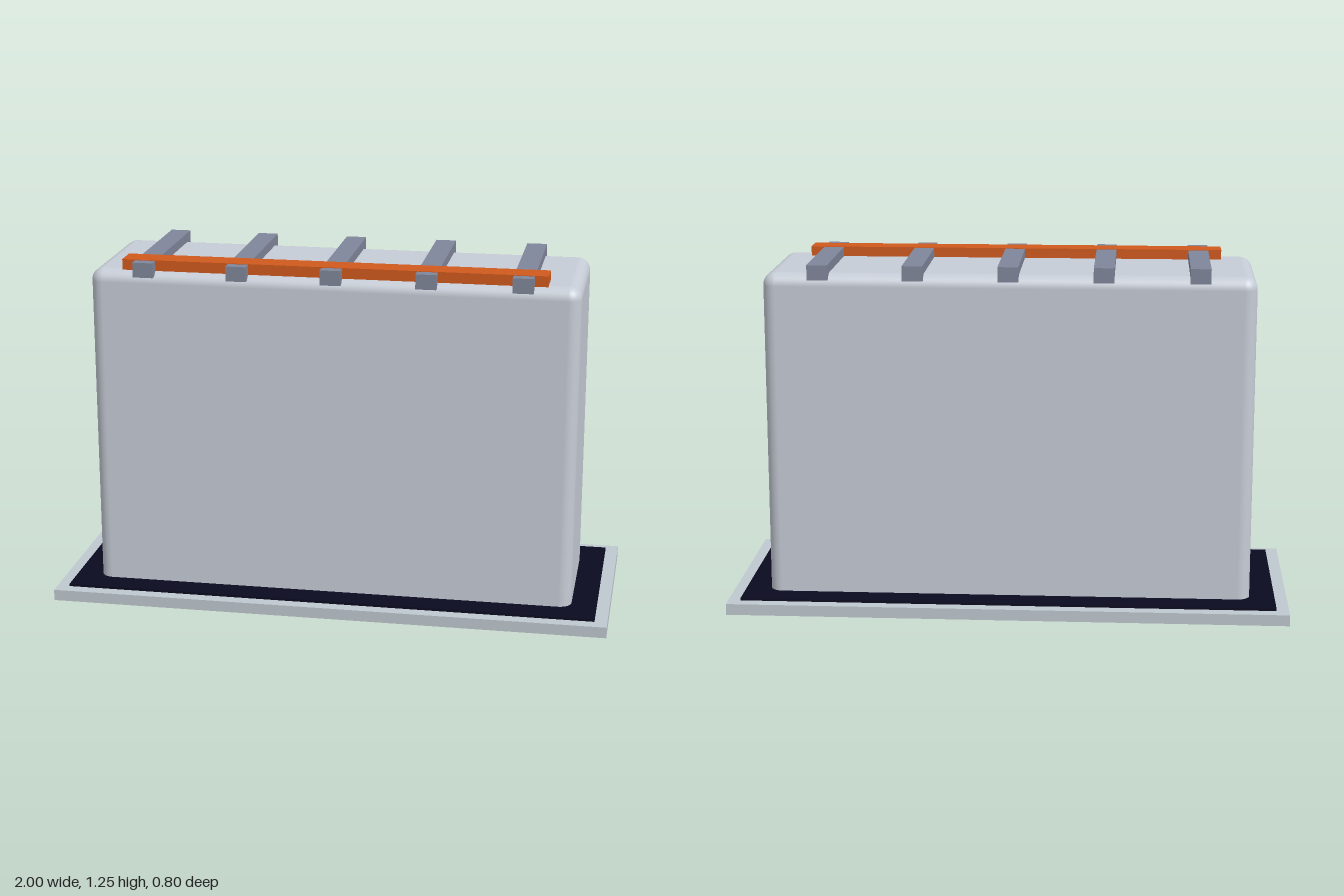
import * as THREE from 'three';
import { RoundedBoxGeometry } from 'three/addons/geometries/RoundedBoxGeometry.js';

const material = (name, color) => {
  const m = new THREE.MeshStandardMaterial({ color });
  m.name = name;
  return m;
};

export function createModel() {
  const model = new THREE.Group();
  const paleStone = material('paleStone', 0xbec8ce);
  const darkInlay = material('darkInlay', 0x0a0a20);
  const lightGrey = material('lightGrey', 0xc6ccd6);
  const slate = material('slate', 0x80869a);
  const orange = material('orange', 0xd05a1e);

  const add = (name, geometry, mat, x, y, z) => {
    const mesh = new THREE.Mesh(geometry, mat);
    mesh.name = name;
    mesh.position.set(x, y, z);
    model.add(mesh);
  };
  // Box spanning y0 to y1
  const slab = (name, mat, w, d, y0, y1, x = 0, z = 0) =>
    add(name, new THREE.BoxGeometry(w, y1 - y0, d), mat, x, (y0 + y1) / 2, z);

  // Plinth with a thin dark inlay
  slab('basePlate', paleStone, 2, 0.8, 0, 0.04);
  slab('baseInlay', darkInlay, 1.91, 0.71, 0.04, 0.049);

  // Main block; its lower rounding is buried in the plinth
  const bottom = 0.004, top = 1.21;
  add('body', new RoundedBoxGeometry(1.73, top - bottom, 0.524, 5, 0.045),
    lightGrey, 0, (top + bottom) / 2, 0);

  // Five cross bars over the roof
  for (let i = -2; i <= 2; i++) {
    slab('roofBar', slate, 0.072, 0.55, 1.19, 1.243, i / 3);
  }

  // Long rail across the bars near the front
  slab('roofRail', orange, 1.5, 0.09, 1.207, 1.245, 0, 0.19);

  return model;
}
